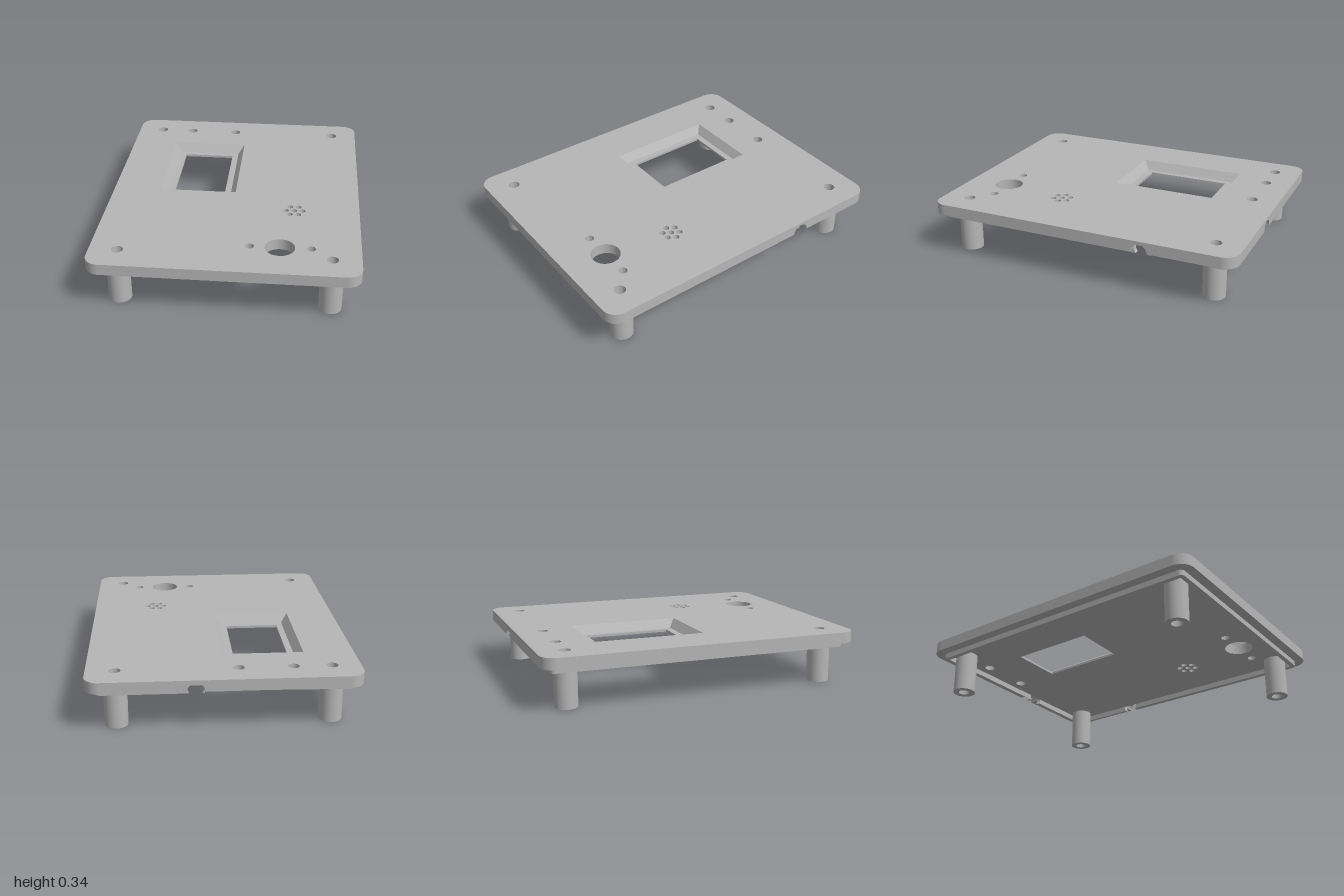
import * as THREE from 'three';
import { toCreasedNormals } from 'three/addons/utils/BufferGeometryUtils.js';

const grey = new THREE.MeshStandardMaterial({ color: 0xb6b6b6 });
grey.name = 'plain grey';

// Heights
const LIP = 0.23, BASE = 0.265, TOP = 0.335, LEDGE = 0.28;
// Cable notches: radius, depth and centre on the back and right edges
const R = 0.053, DEPTH = 0.09, BACK_X = 0.17, SIDE_Z = -0.42;
const LIP_T = 0.03;

function mesh(name, geometry) {
  const m = new THREE.Mesh(geometry, grey);
  m.name = name;
  return m;
}

function extrude(shape, depth) {
  const g = new THREE.ExtrudeGeometry(shape, { depth, bevelEnabled: false, curveSegments: 20 });
  return toCreasedNormals(g, 0.6);
}

// Extrudes a plan shape (drawn with x and -z) upward from y0 to y1
function slab(name, shape, y0, y1) {
  return mesh(name, extrude(shape, y1 - y0).rotateX(-Math.PI / 2).translate(0, y0, 0));
}

function circle(x, z, r, Type = THREE.Path) {
  const p = new Type();
  p.absarc(x, -z, r, 0, Math.PI * 2, false);
  return p;
}

function polygon(points, Type = THREE.Shape) {
  return new Type(points.map(([x, y]) => new THREE.Vector2(x, y)));
}

const rect = (x0, x1, z0, z1) => [[x0, z0], [x1, z0], [x1, z1], [x0, z1]];
const legSpots = [[-0.63, -0.83], [0.63, -0.83], [-0.63, 0.83], [0.63, 0.83]];
const windowOuter = rect(-0.495, 0, -0.62, 0.085);

// Rounded plate with notched edges and all drilled holes
function plate() {
  const X = 0.8, Z = 1, r = 0.09, s = new THREE.Shape(), H = Math.PI / 2;
  s.moveTo(-X + r, -Z);
  s.absarc(X - r, -Z + r, r, -H, 0, false);
  for (const [x, y] of [[X, -R], [X - DEPTH, -R], [X - DEPTH, R], [X, R]]) s.lineTo(x, y - SIDE_Z);
  s.absarc(X - r, Z - r, r, 0, H, false);
  for (const [x, y] of [[R, Z], [R, Z - DEPTH], [-R, Z - DEPTH], [-R, Z]]) s.lineTo(x + BACK_X, y);
  s.absarc(-X + r, Z - r, r, H, 2 * H, false);
  s.absarc(-X + r, -Z + r, r, 2 * H, 3 * H, false);

  const holes = legSpots.map(([x, z]) => [x, z, 0.035]);
  holes.push([-0.405, -0.83, 0.034], [-0.085, -0.83, 0.034]);
  holes.push([0.32, 0.725, 0.09], [0.14, 0.725, 0.027], [0.505, 0.725, 0.027]);
  // sound holes
  holes.push([0.39, 0.29, 0.019]);
  for (let i = 0; i < 6; i++) {
    const a = i * Math.PI / 3;
    holes.push([0.39 + 0.053 * Math.cos(a), 0.29 + 0.053 * Math.sin(a), 0.019]);
  }
  for (const h of holes) s.holes.push(circle(...h));
  s.holes.push(polygon(windowOuter.map(([x, z]) => [x, -z]), THREE.Path));
  return slab('plate', s, BASE, TOP);
}

// Sloped window surround with a flat ledge, lofted through rectangular rings
function windowFrame() {
  const slope = rect(-0.455, -0.04, -0.583, 0.045), opening = rect(-0.415, -0.08, -0.542, 0);
  const rings = [[windowOuter, TOP], [slope, LEDGE], [opening, LEDGE], [opening, BASE], [windowOuter, BASE]];
  const pos = [];
  for (let k = 0; k < rings.length - 1; k++) {
    for (let i = 0; i < 4; i++) {
      const at = (ring, j) => [ring[0][j % 4][0], ring[1], ring[0][j % 4][1]];
      const a = at(rings[k], i), b = at(rings[k], i + 1);
      const c = at(rings[k + 1], i), d = at(rings[k + 1], i + 1);
      pos.push(...a, ...c, ...b, ...b, ...c, ...d);
    }
  }
  const g = new THREE.BufferGeometry();
  g.setAttribute('position', new THREE.Float32BufferAttribute(pos, 3));
  g.computeVertexNormals();
  return mesh('windowFrame', g);
}

// Thin locating lip under the plate, in two runs between the notches
function lip() {
  const X = 0.74, Z = 0.94, r = 0.03, T = LIP_T, H = Math.PI / 2, n = -SIDE_Z;
  const a = new THREE.Shape();
  a.moveTo(X, n + R);
  a.absarc(X - r, Z - r, r, 0, H, false);
  for (const p of [[BACK_X + R, Z], [BACK_X + R, Z - T], [X - T, Z - T], [X - T, n + R]]) a.lineTo(...p);

  const b = new THREE.Shape();
  b.moveTo(BACK_X - R, Z);
  b.absarc(-X + r, Z - r, r, H, 2 * H, false);
  b.absarc(-X + r, -Z + r, r, 2 * H, 3 * H, false);
  b.absarc(X - r, -Z + r, r, 3 * H, 4 * H, false);
  for (const p of [[X, n - R], [X - T, n - R], [X - T, -Z + T], [-X + T, -Z + T],
    [-X + T, Z - T], [BACK_X - R, Z - T]]) b.lineTo(...p);

  const g = new THREE.Group();
  g.name = 'lip';
  g.add(slab('lipCorner', a, LIP, BASE), slab('lipMain', b, LIP, BASE));
  return g;
}

// Round cable notch: an arch through the plate edge and curved cheeks in the lip
function notch(name) {
  const g = new THREE.Group();
  g.name = name;
  const arch = new THREE.Shape();
  arch.moveTo(R, BASE);
  arch.lineTo(R, TOP);
  arch.lineTo(-R, TOP);
  arch.lineTo(-R, BASE);
  arch.absarc(0, BASE, R, Math.PI, 0, true);
  g.add(mesh('notchArch', extrude(arch, DEPTH)));
  const end = Math.asin((BASE - LIP) / R);
  for (const side of [1, -1]) {
    const pts = [[side * R, LIP]];
    for (let i = 0; i <= 8; i++) {
      const t = end * i / 8;
      pts.push([side * R * Math.cos(t), BASE - R * Math.sin(t)]);
    }
    g.add(mesh('notchCheek', extrude(polygon(pts), LIP_T)));
  }
  return g;
}

export function createModel() {
  const model = new THREE.Group();
  model.name = 'coverPlate';
  model.add(plate(), windowFrame(), lip());

  const back = notch('backNotch');
  back.rotation.y = Math.PI;
  back.position.set(BACK_X, 0, -1 + DEPTH);
  const side = notch('sideNotch');
  side.rotation.y = Math.PI / 2;
  side.position.set(0.8 - DEPTH, 0, SIDE_Z);
  model.add(back, side);

  // Hollow standoff legs
  for (const [x, z] of legSpots) {
    const s = circle(x, z, 0.07, THREE.Shape);
    s.holes.push(circle(x, z, 0.035));
    model.add(slab('leg', s, 0, BASE));
  }
  return model;
}
